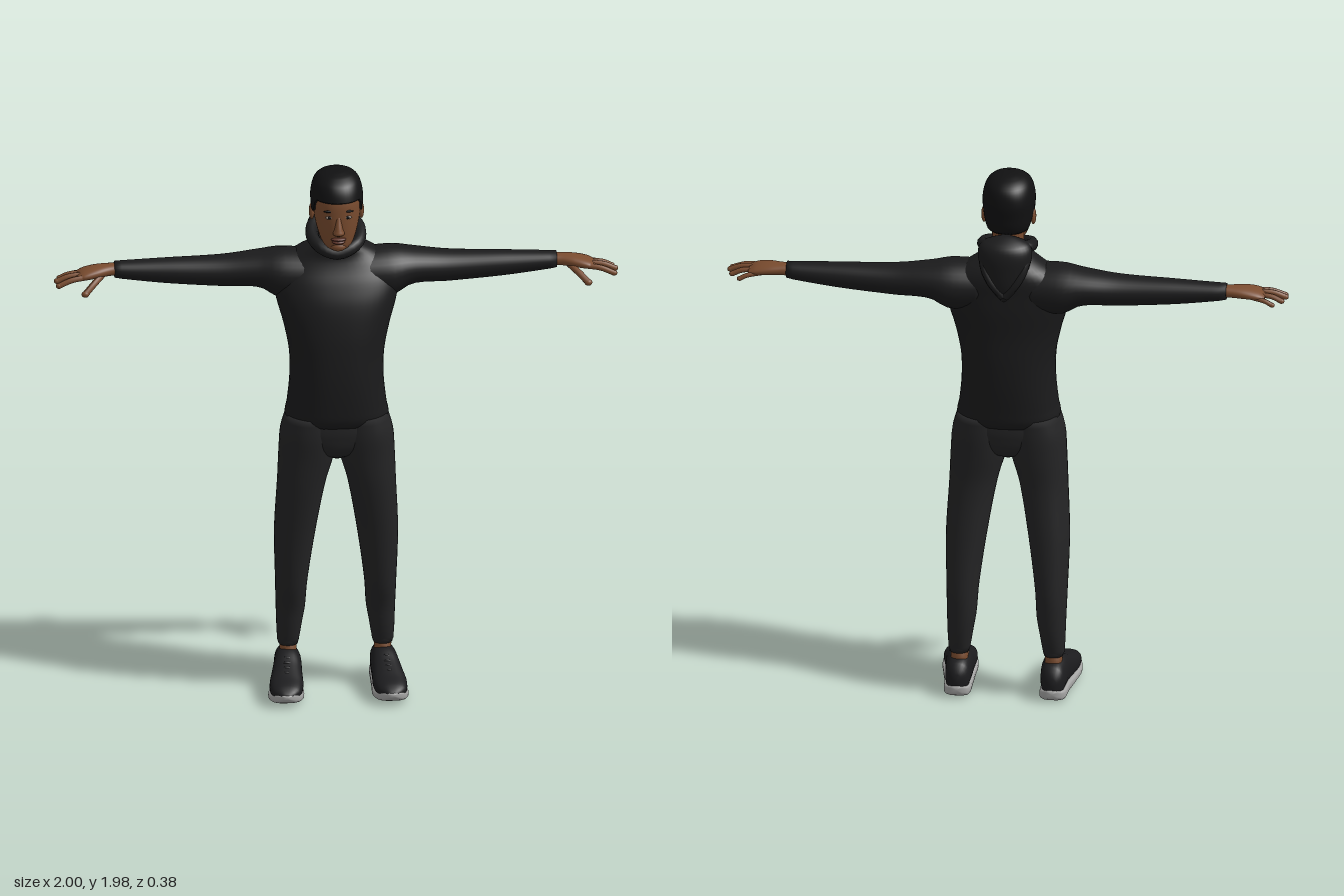
import * as THREE from 'three';

const mat = (name, color, side = THREE.FrontSide) => {
  const m = new THREE.MeshStandardMaterial({ color, side });
  m.name = name;
  return m;
};

// Smooth value of a section table [t, cu, cv, ru, rv] at t
function sample(rows, t) {
  let i = 0;
  while (i < rows.length - 2 && t > rows[i + 1][0]) i++;
  const a = rows[i], b = rows[i + 1], h = b[0] - a[0];
  const s = THREE.MathUtils.clamp((t - a[0]) / h, 0, 1);
  const slope = (j, k) => {
    const p = rows[Math.max(j - 1, 0)], q = rows[Math.min(j + 1, rows.length - 1)];
    return (q[k] - p[k]) / (q[0] - p[0]) * h;
  };
  return [1, 2, 3, 4].map(k => (2 * s ** 3 - 3 * s * s + 1) * a[k] + (s ** 3 - 2 * s * s + s) * slope(i, k)
    + (3 * s * s - 2 * s ** 3) * b[k] + (s ** 3 - s * s) * slope(i + 1, k));
}

// Superellipse sections lofted along an axis; u and v follow it cyclically (x: y,z  y: z,x  z: x,y)
function loft(axis, rows, { n = 2.2, segs = 32, steps = 28, start = null } = {}) {
  const pos = [], index = [], A = 'xyz'.indexOf(axis);
  const t0 = rows[0][0], t1 = rows[rows.length - 1][0];
  const pw = v => Math.sign(v) * Math.abs(v) ** (2 / n);
  for (let j = 0; j <= steps; j++) for (let i = 0; i < segs; i++) {
    const th = i / segs * Math.PI * 2, c = Math.cos(th), s = Math.sin(th);
    const t = THREE.MathUtils.lerp(start ? start(c) : t0, t1, j / steps);
    const [cu, cv, ru, rv] = sample(rows, t), p = [0, 0, 0];
    p[A] = t;
    p[(A + 1) % 3] = cu + ru * pw(c);
    p[(A + 2) % 3] = cv + rv * pw(s);
    pos.push(...p);
  }
  for (let j = 0; j < steps; j++) for (let i = 0; i < segs; i++) {
    const a = j * segs + i, b = j * segs + (i + 1) % segs;
    index.push(a, b, b + segs, a, b + segs, a + segs);
  }
  // end caps
  for (const j of [0, steps]) {
    const mid = [0, 0, 0], id = pos.length / 3;
    for (let i = 0; i < segs; i++) for (let k = 0; k < 3; k++) mid[k] += pos[(j * segs + i) * 3 + k] / segs;
    pos.push(...mid);
    for (let i = 0; i < segs; i++) {
      const a = j * segs + i, b = j * segs + (i + 1) % segs;
      index.push(...(j ? [id, a, b] : [id, b, a]));
    }
  }
  const g = new THREE.BufferGeometry();
  g.setAttribute('position', new THREE.Float32BufferAttribute(pos, 3));
  g.setIndex(index);
  g.computeVertexNormals();
  return g;
}

const blob = (x, y, z, rx, ry, rz) => new THREE.SphereGeometry(1, 20, 14).scale(rx, ry, rz).translate(x, y, z);
const tube = (pts, r, closed = false) => new THREE.TubeGeometry(
  new THREE.CatmullRomCurve3(pts.map(p => new THREE.Vector3(...p)), closed), 32, r, 10, closed);

function mirrored(g) {
  const m = g.clone(), p = m.attributes.position, ix = m.index.array;
  for (let i = 0; i < p.count; i++) p.setX(i, -p.getX(i));
  for (let i = 0; i < ix.length; i += 3) [ix[i], ix[i + 1]] = [ix[i + 1], ix[i]];
  m.computeVertexNormals();
  return m;
}

export function createModel() {
  const model = new THREE.Group();
  model.name = 'standingMan';
  const skin = mat('skin', 0x7a4c2f), lip = mat('lips', 0x5f352a), hair = mat('hair', 0x111112, THREE.DoubleSide);
  const top = mat('hoodieCloth', 0x1b1b1c), cloth = mat('trouserCloth', 0x242425);
  const shoe = mat('shoeFabric', 0x1c1c1e), rubber = mat('soleRubber', 0xa3a3a2), eyeWhite = mat('eyeWhite', 0x9a8c80);
  const add = (name, g, m) => {
    const mesh = new THREE.Mesh(g, m);
    mesh.name = name;
    model.add(mesh);
  };
  const pair = (name, g, m) => {
    add(name + 'Left', g, m);
    add(name + 'Right', mirrored(g), m);
  };

  // Hoodie
  add('torso', loft('y', [
    [1.035, 0, 0, .118, .168], [1.06, 0, 0, .133, .184], [1.1, 0, 0, .139, .177], [1.2, -.003, 0, .147, .167],
    [1.3, -.007, 0, .148, .169], [1.4, -.012, 0, .143, .188], [1.5, -.025, 0, .134, .215], [1.57, -.04, 0, .118, .222],
    [1.62, -.055, 0, .103, .2], [1.66, -.058, 0, .09, .145], [1.69, -.045, 0, .08, .095], [1.71, -.035, 0, .068, .07],
  ], { segs: 48, steps: 48, n: 2.3 }), top);
  pair('sleeve', loft('x', [
    [.08, 1.575, -.05, .085, .1], [.2, 1.575, -.06, .09, .103], [.27, 1.588, -.067, .066, .086],
    [.4, 1.583, -.068, .056, .066], [.6, 1.587, -.068, .045, .05], [.76, 1.594, -.067, .032, .038],
    [.785, 1.596, -.066, .029, .034],
  ], { n: 2 }), top);
  add('hoodBag', loft('y', [
    [1.55, -.145, 0, .012, .012], [1.6, -.14, 0, .037, .052], [1.67, -.128, 0, .055, .085],
    [1.73, -.118, 0, .062, .097], [1.765, -.112, 0, .05, .08], [1.785, -.108, 0, .015, .03],
  ], { n: 2 }), top);
  add('collar', tube([[0, 1.685, .055], [.062, 1.705, .035], [.085, 1.725, -.03], [.07, 1.745, -.1], [0, 1.755, -.13],
    [-.07, 1.745, -.1], [-.085, 1.725, -.03], [-.062, 1.705, .035]], .023, true), top);
  pair('hoodFold', tube([[.07, 1.745, -.11], [.072, 1.69, -.142], [.045, 1.63, -.16], [0, 1.575, -.16]], .017), top);

  // Trousers
  add('hips', loft('y', [[.895, 0, 0, .04, .02], [.93, 0, 0, .098, .1], [1, 0, 0, .12, .188], [1.07, 0, 0, .12, .176]]), cloth);
  pair('trouserLeg', loft('y', [
    [.155, -.07, .168, .04, .035], [.19, -.07, .167, .05, .041], [.24, -.07, .164, .06, .046], [.3, -.068, .16, .068, .052],
    [.4, -.055, .158, .085, .057], [.6, -.03, .147, .095, .073], [.8, -.005, .125, .104, .086],
    [.92, -.002, .106, .115, .1], [1, 0, .1, .122, .1], [1.07, 0, .095, .12, .085],
  ], { steps: 40 }), cloth);
  pair('ankleCuff', loft('y', [[.155, -.07, .168, .038, .033], [.165, -.07, .168, .044, .038],
    [.188, -.07, .168, .046, .039], [.198, -.07, .168, .04, .034]], { n: 2, steps: 10 }), cloth);

  // Feet
  pair('ankle', loft('y', [[.08, -.07, .168, .038, .03], [.18, -.07, .168, .036, .031]], { steps: 2 }), skin);
  pair('shoeUpper', loft('z', [
    [-.152, .17, .06, .018, .03], [-.135, .17, .068, .038, .052], [-.08, .17, .076, .047, .062], [-.03, .172, .077, .05, .063],
    [.03, .178, .065, .055, .051], [.1, .184, .053, .06, .038], [.16, .187, .048, .048, .025], [.188, .188, .046, .02, .01],
  ], { n: 2.4 }), shoe);
  pair('shoeSole', loft('z', [
    [-.155, .17, .032, .022, .016], [-.135, .17, .024, .044, .021], [-.05, .173, .02, .051, .02], [.03, .18, .018, .058, .018],
    [.1, .185, .021, .064, .018], [.155, .187, .03, .053, .018], [.18, .188, .038, .034, .016], [.192, .188, .044, .014, .008],
  ], { n: 3.5 }), rubber);
  for (let i = 0; i < 4; i++) {
    const z = .005 + i * .024, y = .122 - i * .0095, x = .176 + i * .002;
    pair('lace' + (i + 1), tube([[x - .03, y - .012, z], [x, y + .002, z], [x + .03, y - .012, z]], .005), shoe);
  }

  // Hands
  pair('palm', loft('x', [
    [.77, 1.596, -.066, .022, .028], [.8, 1.597, -.064, .021, .031], [.85, 1.594, -.056, .021, .043],
    [.895, 1.588, -.05, .017, .047], [.922, 1.583, -.05, .008, .038],
  ]), skin);
  const fingers = [
    ['index', .012, [[.88, 1.587, -.018], [.94, 1.581, -.006], [.985, 1.564, .001]]],
    ['middle', .012, [[.88, 1.59, -.04], [.95, 1.585, -.034], [.99, 1.57, -.031]]],
    ['ring', .011, [[.88, 1.588, -.062], [.945, 1.583, -.064], [.98, 1.568, -.066]]],
    ['little', .01, [[.88, 1.583, -.083], [.925, 1.576, -.093], [.95, 1.565, -.098]]],
    ['thumb', .014, [[.825, 1.588, -.045], [.86, 1.566, -.005], [.893, 1.538, .022]]],
  ];
  for (const [name, r, pts] of fingers) {
    pair(name + 'Finger', tube(pts, r * .85), skin);
    pair(name + 'Tip', blob(...pts[2], r, r * .85, r * .85), skin);
  }

  // Head
  add('neck', loft('y', [[1.64, -.035, 0, .065, .06], [1.72, -.025, 0, .062, .056], [1.8, -.02, 0, .07, .058]]), skin);
  const skull = [
    [1.71, .06, 0, .035, .026], [1.725, .048, 0, .062, .048], [1.76, .027, 0, .088, .066], [1.8, .013, 0, .106, .077],
    [1.85, .009, 0, .111, .084], [1.9, .005, 0, .111, .086], [1.94, .002, 0, .094, .074], [1.965, 0, 0, .06, .05],
    [1.975, 0, 0, .025, .02],
  ];
  add('head', loft('y', skull, { segs: 40 }), skin);
  const cap = skull.map(([y, cz, cx, rz, rx], i) => [y + (i > 5 ? .009 : 0), cz - .002, cx, rz + .008, rx + .007]);
  const step = THREE.MathUtils.smoothstep;
  // hairline: high on the forehead, lower at the temples, lowest at the nape
  const hairline = c => 1.9 - .055 * step(-c, -.6, -.3) - .06 * step(-c, .1, .5);
  add('hair', loft('y', cap, { segs: 48, start: hairline }), hair);
  add('nose', loft('y', [
    [1.777, .118, 0, .008, .012], [1.786, .12, 0, .021, .021], [1.8, .12, 0, .019, .016],
    [1.835, .115, 0, .01, .009], [1.857, .111, 0, .005, .008],
  ], { n: 2 }), skin);
  add('chin', blob(0, 1.73, .098, .028, .018, .02), skin);
  add('upperLip', blob(0, 1.762, .112, .027, .007, .016), lip);
  add('lowerLip', blob(0, 1.751, .11, .023, .008, .016), lip);
  pair('ear', blob(.088, 1.825, -.008, .01, .031, .019), skin);
  pair('eye', blob(.033, 1.845, .1125, .014, .006, .0045), eyeWhite);
  pair('iris', blob(.033, 1.845, .1155, .006, .0058, .003), hair);
  pair('eyebrow', blob(.034, 1.868, .1115, .02, .004, .0045).rotateZ(0), hair);
  return model;
}
